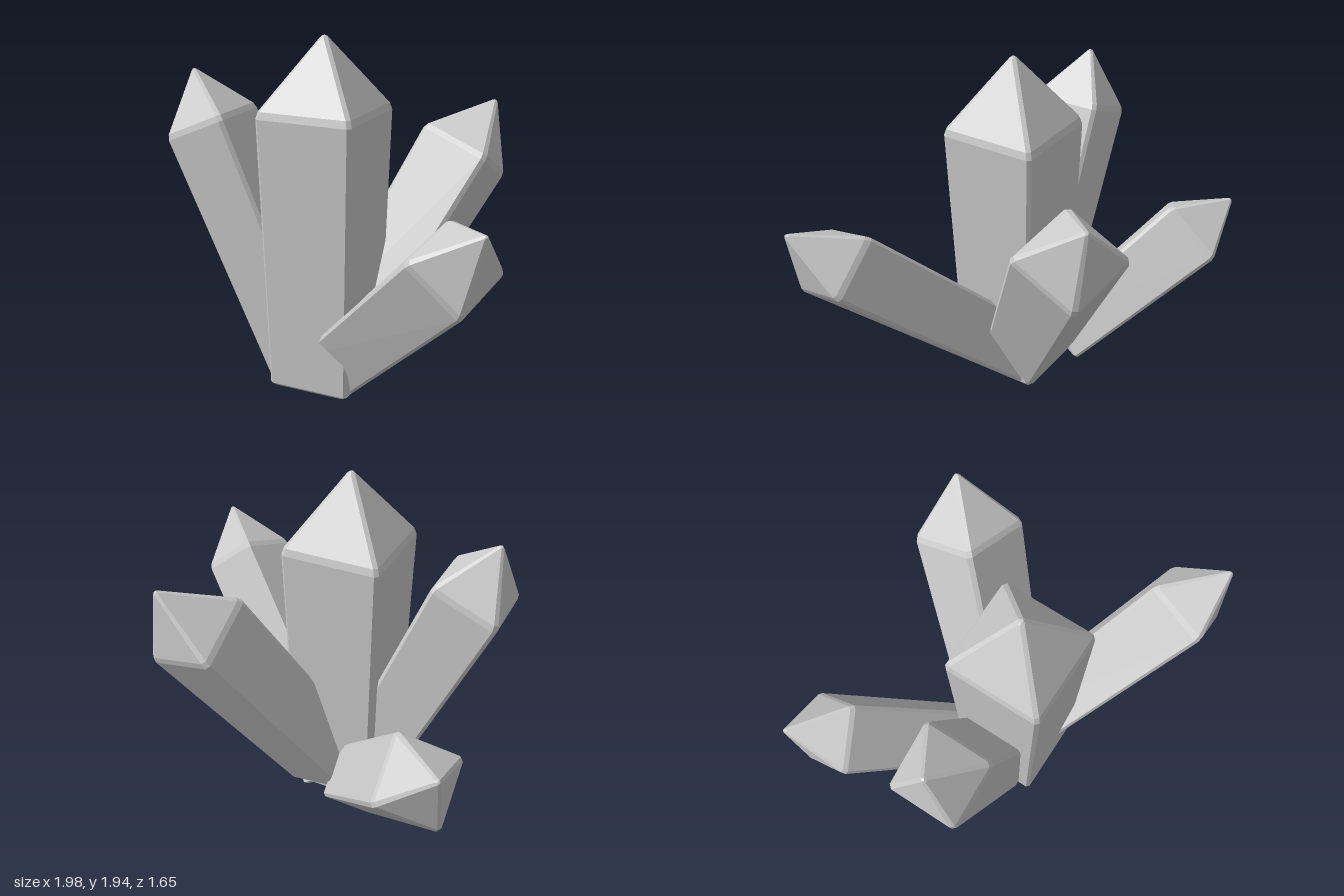
import * as THREE from 'three';

const vec = (a) => new THREE.Vector3(...a);
const material = new THREE.MeshStandardMaterial({ color: 0xcccccc, flatShading: true, side: THREE.DoubleSide });

// Square with cut corners, counter-clockwise, in units of the edge vectors
function cutSquare(half, cut) {
  const i = half - cut;
  return [[half, -i], [half, i], [i, half], [-i, half], [-half, i], [-half, -i], [-i, -half], [i, -half]];
}

// Bevelled four-sided crystal: tapered shaft from base to shoulder, pyramid to tip.
// u, v are the full side vectors at the shoulder; u0, v0 those at the base.
function crystal({ name, base, shoulder, tip, u, v, taper = 0.86, u0, v0, cut = 0.05 }) {
  const B = vec(base), S = vec(shoulder), T = vec(tip);
  let U = vec(u), V = vec(v);
  let U0 = u0 ? vec(u0) : U.clone().multiplyScalar(taper);
  let V0 = v0 ? vec(v0) : V.clone().multiplyScalar(taper);
  if (U.clone().cross(V).dot(T.clone().sub(S)) < 0) {
    [U, V] = [V, U];
    [U0, V0] = [V0, U0];
  }

  const ring = (centre, eu, ev, half, c) => cutSquare(half, c).map(([a, b]) =>
    centre.clone().addScaledVector(eu, a).addScaledVector(ev, b));
  const rings = [
    ring(B, U0, V0, 0.46, cut),                              // base bevel
    ring(B.clone().lerp(S, 0.012), U0, V0, 0.5, cut),        // foot of shaft
    ring(S.clone().lerp(B, 0.01), U, V, 0.5, cut),           // top of shaft
    ring(S.clone().lerp(T, 0.06), U, V, 0.48, cut),          // shoulder bevel
    ring(T.clone().lerp(S, 0.025), U, V, 0.04, 0.03),        // end of ridges
    ring(T, U, V, 0.018, 0.012),                             // blunt tip
  ];

  const pts = [];
  const tri = (a, b, c) => pts.push(a, b, c);
  for (let r = 0; r < rings.length - 1; r++) {
    for (let i = 0; i < 8; i++) {
      const j = (i + 1) % 8, lo = rings[r], hi = rings[r + 1];
      tri(lo[i], lo[j], hi[j]);
      tri(lo[i], hi[j], hi[i]);
    }
  }
  const top = rings[rings.length - 1];
  for (let i = 0; i < 8; i++) {
    const j = (i + 1) % 8;
    tri(B, rings[0][j], rings[0][i]);
    tri(T, top[i], top[j]);
  }
  const geometry = new THREE.BufferGeometry().setFromPoints(pts);
  geometry.computeVertexNormals();
  const mesh = new THREE.Mesh(geometry, material);
  mesh.name = name;
  return mesh;
}

export function createModel() {
  const group = new THREE.Group();
  group.name = 'crystalCluster';
  const crystals = [
    // Tall upright crystal
    { name: 'centreCrystal', base: [-0.12, 0.05, 0.14], shoulder: [-0.11, 1.57, 0.14], tip: [-0.11, 1.96, 0.14],
      u: [0.54, 0, 0], v: [0, 0, 0.54], cut: 0.035 },
    // Leaning to the side
    { name: 'sideCrystal', base: [-0.24, 0.13, 0.135], shoulder: [-0.805, 1.445, 0.135], tip: [-0.91, 1.73, 0.135],
      u: [0.35, 0.15, 0], v: [0, 0, 0.39] },
    // Leaning back
    { name: 'backRightCrystal', base: [-0.27, 0.19, -0.087], shoulder: [-0.825, 0.805, -0.615], tip: [-0.98, 0.99, -0.78],
      u: [0, 0.25, 0.29], v: [0.31, 0.16, -0.14], taper: 0.8 },
    { name: 'backLeftCrystal', base: [-0.05, 0.205, 0.01], shoulder: [0.425, 1.26, -0.53], tip: [0.55, 1.53, -0.68],
      u: [0, 0.19, 0.37], v: [0.39, -0.13, 0.09] },
    // Leaning forward, with a twisted foot
    { name: 'frontLeftCrystal', base: [-0.08, 0.11, 0.09], shoulder: [0.797, 1.025, 0.645], tip: [0.98, 1.25, 0.78],
      u: [-0.09, -0.12, 0.35], v: [0.28, -0.23, 0], u0: [0, 0, 0.36], v0: [0.28, -0.2, 0] },
  ];
  for (const c of crystals) group.add(crystal(c));
  return group;
}
